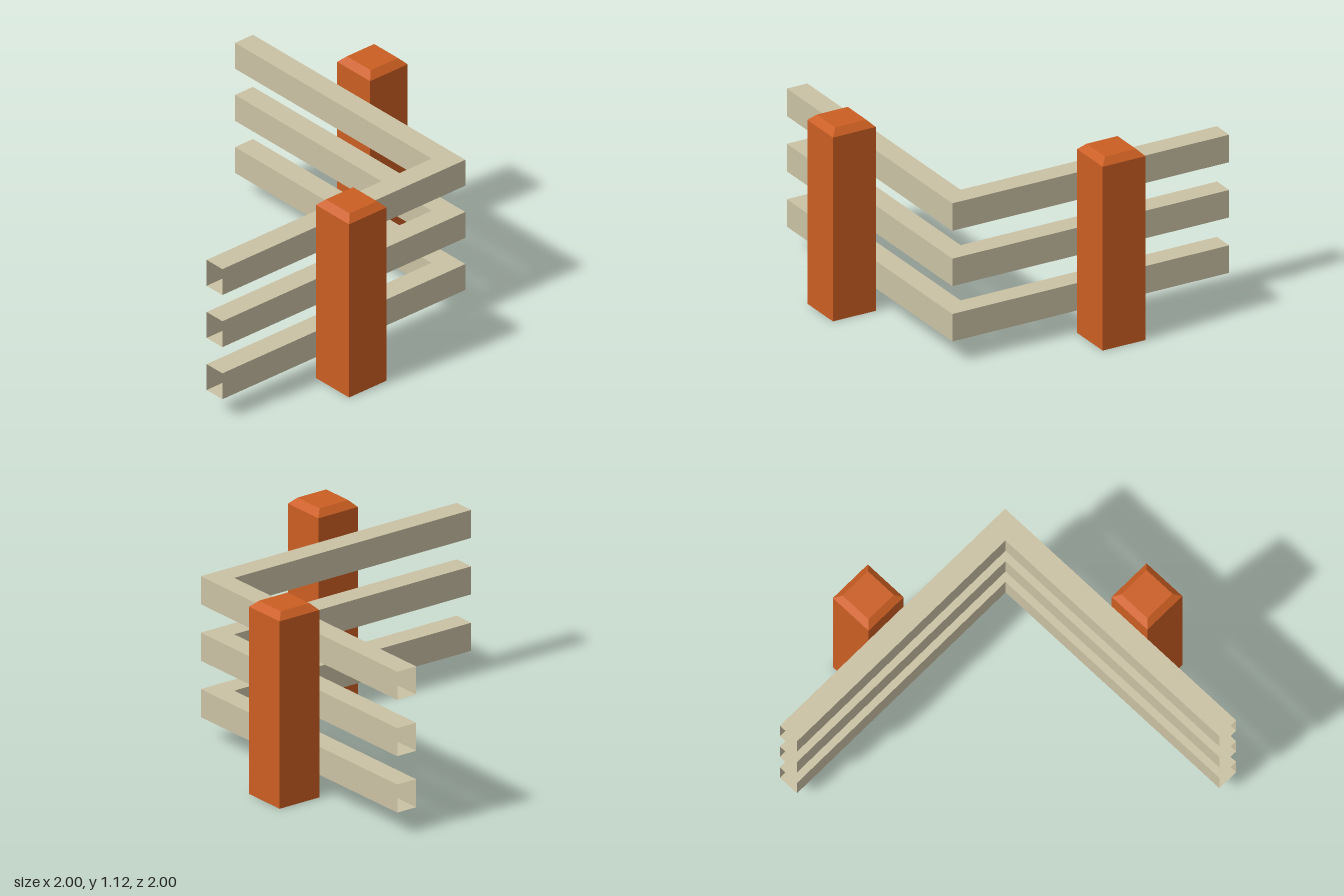
import * as THREE from 'three';

const wood = new THREE.MeshStandardMaterial({ color: 0xcac2a4, side: THREE.DoubleSide });
wood.name = 'pale rail';
const orange = new THREE.MeshStandardMaterial({ color: 0xcb5e22, side: THREE.DoubleSide });
orange.name = 'orange post';

// Joins four-cornered rings into a flat-faced shell; the ends stay open unless capped
function loft(rings, capEnd) {
  const pos = [];
  const quad = (a, b, c, d) => pos.push(...a, ...b, ...c, ...a, ...c, ...d);
  for (let r = 0; r < rings.length - 1; r++) {
    const a = rings[r], b = rings[r + 1];
    for (let i = 0; i < 4; i++) {
      const j = (i + 1) % 4;
      quad(a[i], a[j], b[j], b[i]);
    }
  }
  if (capEnd) quad(...rings[rings.length - 1]);
  const geo = new THREE.BufferGeometry();
  geo.setAttribute('position', new THREE.Float32BufferAttribute(pos, 3));
  geo.computeVertexNormals();
  return geo;
}

// Square post with a bevelled top and an open base
function post(name, x, z) {
  const ring = (h, y) => [[-h, y, h], [h, y, h], [h, y, -h], [-h, y, -h]];
  const mesh = new THREE.Mesh(loft([ring(0.134, 0), ring(0.134, 1.083), ring(0.097, 1.12)], true), orange);
  mesh.name = name;
  mesh.position.set(x, 0, z);
  return mesh;
}

// Hollow L-shaped rail with a mitred corner and open ends
function rail(name, y) {
  const h = 0.162;
  const ring = (inner, outer) => [
    [inner[0], 0, inner[1]], [outer[0], 0, outer[1]],
    [outer[0], h, outer[1]], [inner[0], h, inner[1]],
  ];
  const mesh = new THREE.Mesh(loft([
    ring([-1, -0.602], [-1, -0.73]),
    ring([0.602, -0.602], [0.73, -0.73]),
    ring([0.602, 1], [0.73, 1]),
  ], false), wood);
  mesh.name = name;
  mesh.position.y = y;
  return mesh;
}

export function createModel() {
  const model = new THREE.Group();
  model.name = 'cornerFence';
  ['lowerRail', 'middleRail', 'upperRail'].forEach((name, i) => model.add(rail(name, 0.13 + i * 0.326)));
  model.add(post('backPost', -0.182, -0.866), post('sidePost', 0.866, 0.2));
  return model;
}
